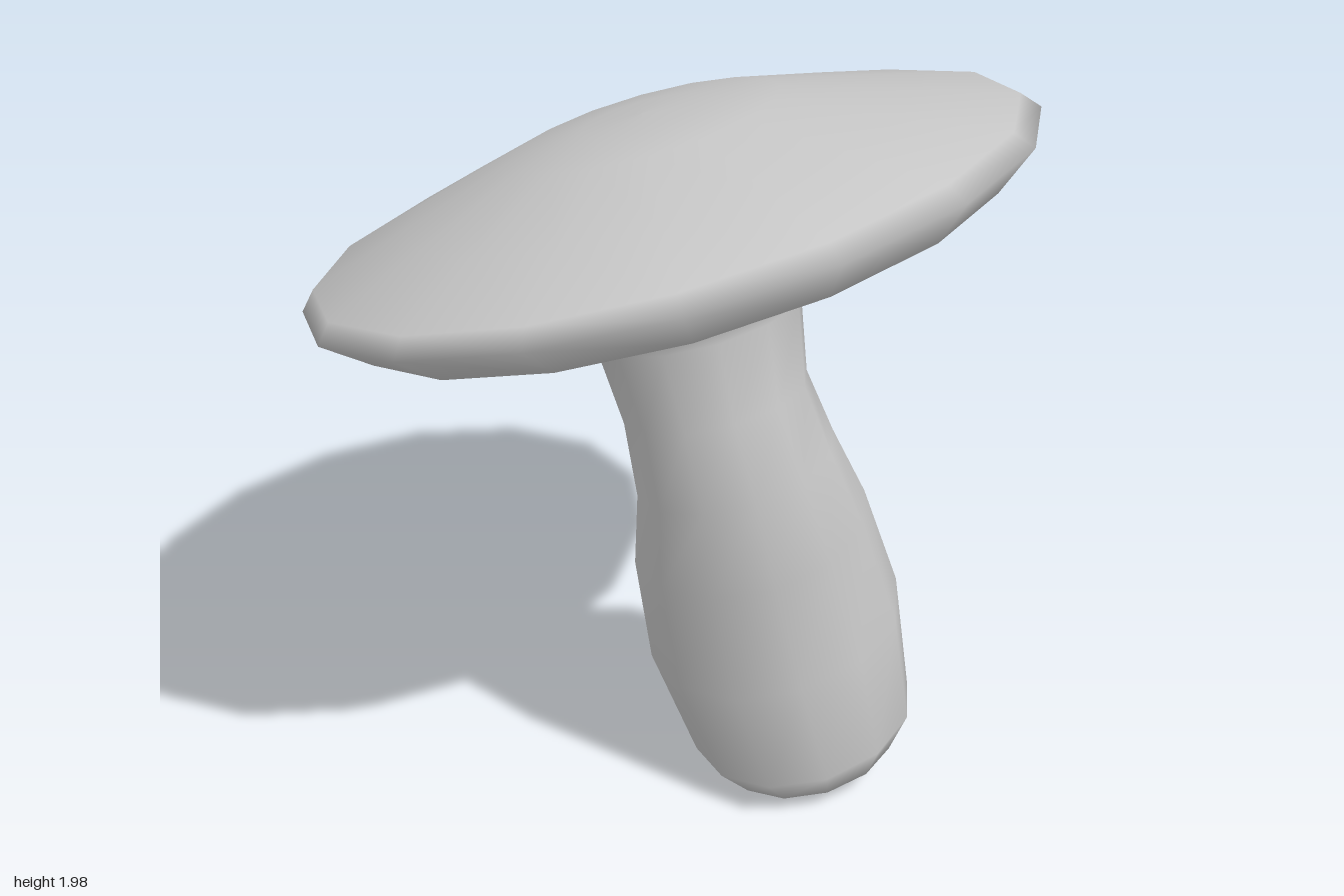
import * as THREE from 'three';

const material = new THREE.MeshStandardMaterial({ color: 0xcccccc });

// Smooth tube through tilted elliptical rings: [cx, cy, cz, rx, rz, slopeX, slopeZ]
function ringLoft(rings, sides) {
  const positions = [];
  const index = [];
  rings.forEach(([cx, cy, cz, rx, rz, sx, sz], j) => {
    for (let i = 0; i < sides; i++) {
      const a = (i / sides) * Math.PI * 2;
      const dx = Math.cos(a) * rx;
      const dz = Math.sin(a) * rz;
      positions.push(cx + dx, cy + dx * sx + dz * sz, cz + dz);
      if (j === rings.length - 1) continue;
      const p = j * sides + i;
      const q = j * sides + ((i + 1) % sides);
      if (rx > 0) index.push(p, p + sides, q);
      index.push(q, p + sides, q + sides);
    }
  });
  const geometry = new THREE.BufferGeometry();
  geometry.setAttribute('position', new THREE.Float32BufferAttribute(positions, 3));
  geometry.setIndex(index);
  geometry.computeVertexNormals();
  return geometry;
}

export function createModel() {
  const group = new THREE.Group();
  group.name = 'mushroom';

  // Cap: shallow 16-sided dome with a rounded rim and a flat underside
  const profile = [
    [0, -0.15], [0.35, -0.16], [0.58, -0.145], [0.8, -0.1], [0.91, -0.01],
    [0.87, 0.035], [0.62, 0.115], [0.33, 0.205], [0.15, 0.228], [0, 0.232],
  ].map(([r, y]) => new THREE.Vector2(r, y));
  const cap = new THREE.Mesh(new THREE.LatheGeometry(profile, 16, -0.125), material);
  cap.name = 'cap';
  cap.position.set(0, 1.69, 0);
  // Tilt the cap, high towards the front left
  const normal = new THREE.Vector3(-0.245, 1, -0.22).normalize();
  cap.quaternion.setFromUnitVectors(new THREE.Vector3(0, 1, 0), normal);
  group.add(cap);

  // Stem: bent, bulging at the foot, pinched at the neck, flaring into the cap
  const stem = new THREE.Mesh(ringLoft([
    [0.39, 0.06, -0.02, 0, 0, 0.23, 0],
    [0.39, 0.06, -0.02, 0.22, 0.21, 0.23, 0],
    [0.365, 0.17, -0.015, 0.285, 0.295, 0.25, 0],
    [0.29, 0.47, -0.045, 0.325, 0.33, 0.25, -0.04],
    [0.205, 0.8, 0.03, 0.295, 0.31, 0.25, 0],
    [0.15, 1.03, 0.1, 0.245, 0.25, 0.28, 0.1],
    [0.095, 1.23, 0.12, 0.225, 0.23, 0.23, 0.2],
    [0.06, 1.43, 0.075, 0.25, 0.25, 0.24, 0.2],
    [0.05, 1.5, 0.05, 0.31, 0.3, 0.24, 0.21],
    [0.04, 1.56, 0.04, 0.4, 0.39, 0.245, 0.22],
  ], 12), material);
  stem.name = 'stem';
  group.add(stem);

  return group;
}
